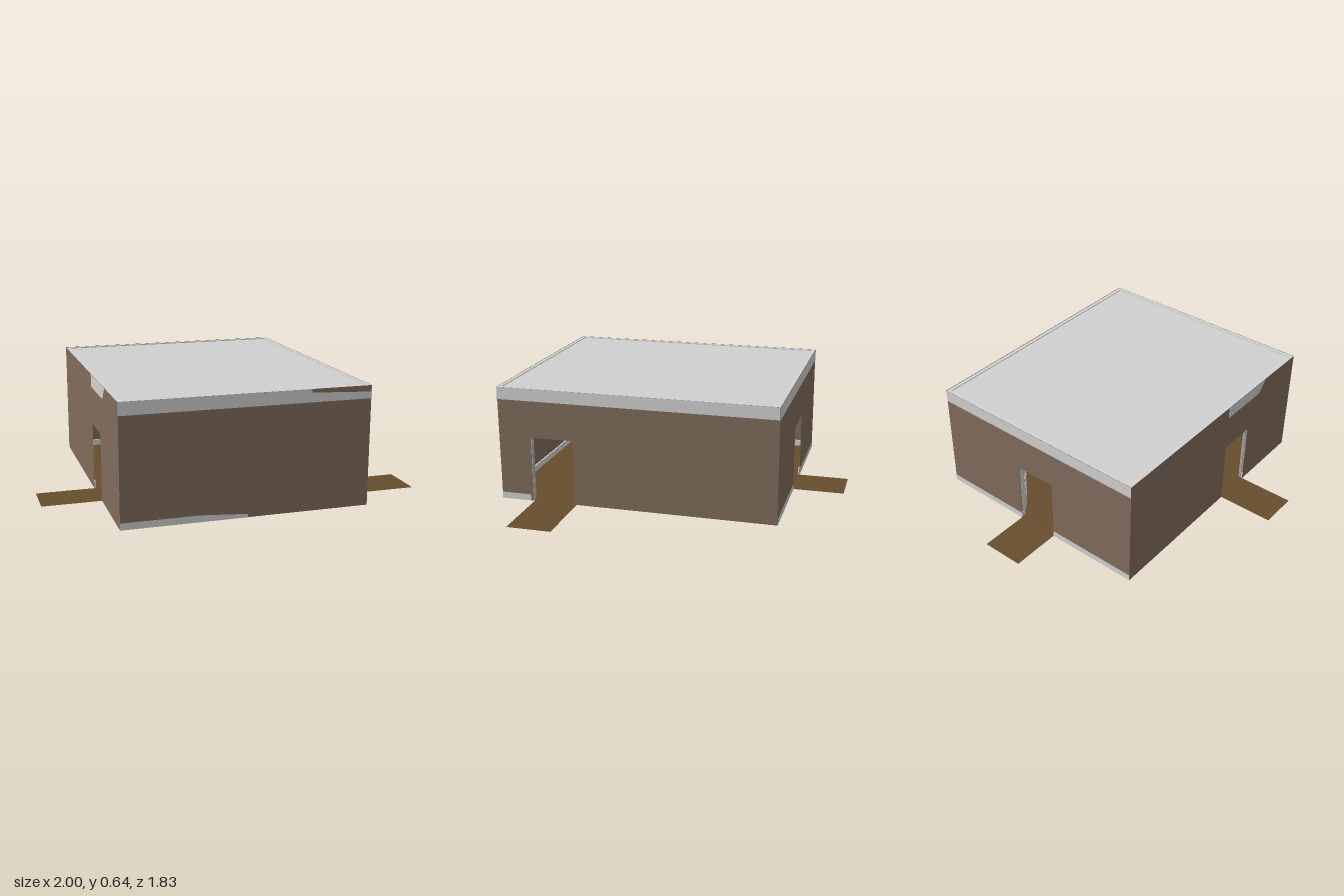
import * as THREE from 'three';

const mat = (name, color, side = THREE.FrontSide) => {
  const m = new THREE.MeshStandardMaterial({ color, side });
  m.name = name;
  return m;
};

const H = 0.638, CROWN = 0.57, BASE = 0.036, DOOR_H = 0.365;
const X0 = -0.68, X1 = 0.63, Z0 = -0.58, Z1 = 0.96;
const CX = (X0 + X1) / 2, CZ = (Z0 + Z1) / 2, W = X1 - X0, D = Z1 - Z0;

export function createModel() {
  const model = new THREE.Group();
  model.name = 'room';
  const wallMat = mat('brown wall', 0x806c5c, THREE.DoubleSide);
  const floorMat = mat('wood floor', 0x674d2e, THREE.DoubleSide);
  const ceilingMat = mat('ceiling grey', 0xd0d0d0, THREE.DoubleSide);
  const trimMat = mat('trim grey', 0xd2d2d2, THREE.DoubleSide);
  const doorMat = mat('door grey', 0xb0b0b0);

  const add = (parent, name, geometry, material, x = 0, y = 0, z = 0) => {
    const mesh = new THREE.Mesh(geometry, material);
    mesh.name = name;
    mesh.position.set(x, y, z);
    parent.add(mesh);
    return mesh;
  };
  const outline = pts => new THREE.ShapeGeometry(new THREE.Shape(pts.map(p => new THREE.Vector2(...p))));
  const rect = (a, b, y0, y1) => [[a, y0], [b, y0], [b, y1], [a, y1]];

  // Horizontal sheet between two corners
  const sheet = (name, x0, x1, z0, z1, y, material) => {
    const g = new THREE.PlaneGeometry(x1 - x0, z1 - z0).rotateX(-Math.PI / 2);
    add(model, name, g, material, (x0 + x1) / 2, y, (z0 + z1) / 2);
  };
  sheet('floor', X0, X1, Z0, Z1, 0, floorMat);
  sheet('backThreshold', -0.145, 0.095, -0.865, Z0, 0, floorMat);
  sheet('leftSideThreshold', X1, 1, 0.525, 0.77, 0, floorMat);
  sheet('rightSideThreshold', -1, X0, 0.285, 0.505, 0, floorMat);
  sheet('ceiling', X0, X1, Z0, Z1, H - 0.006, ceilingMat);

  // Panelled door, hinged at its local origin and reaching along s * x
  function makeDoor(width, s) {
    const door = new THREE.Group();
    door.name = 'door';
    const t = 0.012, h = DOOR_H - 0.008;
    add(door, 'doorLeaf', new THREE.BoxGeometry(width, h, t), doorMat, s * width / 2, h / 2 + 0.004, 0);
    const pw = width * 0.39;
    for (const [y0, y1] of [[0.03, 0.135], [0.147, 0.195], [0.207, 0.338]]) {
      for (const u of [0.27, 0.73]) {
        for (const face of [-1, 1]) {
          const frame = new THREE.Shape(rect(-pw / 2, pw / 2, y0, y1).map(p => new THREE.Vector2(...p)));
          const e = 0.008;
          frame.holes.push(new THREE.Path(
            rect(-pw / 2 + e, pw / 2 - e, y0 + e, y1 - e).reverse().map(p => new THREE.Vector2(...p))));
          const g = new THREE.ExtrudeGeometry(frame, { depth: 0.004, bevelEnabled: false });
          add(door, 'panelMoulding', g, doorMat, s * width * u, 0, face > 0 ? t / 2 : -t / 2 - 0.004);
        }
      }
    }
    return door;
  }

  // Wall facing local +z, with an optional doorway, inner mouldings and outer trim plates
  function makeWall({ name, width, pos, turn, opening, hinge, swing, plates }) {
    const wall = new THREE.Group();
    wall.name = name;
    wall.position.set(pos[0], 0, pos[1]);
    wall.rotation.y = turn;
    const w = width / 2;
    const pts = [[-w, 0]];
    if (opening) {
      const [a, b] = opening;
      pts.push([a, 0], [a, DOOR_H], [b, DOOR_H], [b, 0]);
    }
    pts.push([w, 0], [w, H], [-w, H]);
    add(wall, 'wallSheet', outline(pts), wallMat);

    // Crown moulding and skirting on the inside
    const bar = (label, a, b, y0, y1, t) => add(wall, label,
      new THREE.BoxGeometry(b - a, y1 - y0, t), trimMat, (a + b) / 2, (y0 + y1) / 2, -t / 2 - 0.001);
    bar('crownMoulding', -w + 0.002, w - 0.002, CROWN, H - 0.001, 0.02);
    const runs = opening ? [[-w + 0.002, opening[0]], [opening[1], w - 0.002]] : [[-w + 0.002, w - 0.002]];
    for (const [a, b] of runs) bar('skirting', a, b, 0.001, BASE, 0.008);

    // Trim on the outside
    for (const p of plates) add(wall, 'outerTrim', outline(p), trimMat, 0, 0, 0.002);

    if (opening) {
      const s = hinge === opening[1] ? 1 : -1;
      const door = makeDoor(opening[1] - opening[0] - 0.005, s);
      door.position.set(hinge, 0, -0.018);
      door.rotation.y = s * swing;
      wall.add(door);
    }
    model.add(wall);
  }

  const w = W / 2, d = D / 2;
  makeWall({
    name: 'frontWall', width: W, pos: [CX, Z1], turn: 0,
    plates: [
      [[-w, CROWN], [w, CROWN], [w, 0.605], [0.33, 0.62], [0.33, H], [-w, H]],
      [[-w, 0], [0, 0], [0, 0.018], [-0.25, BASE], [-w, BASE]],
    ],
  });
  makeWall({
    name: 'leftSideWall', width: D, pos: [X1, CZ], turn: Math.PI / 2,
    opening: [-0.585, -0.345], hinge: -0.585, swing: 1.0,
    plates: [rect(-d, d, CROWN, H), rect(-d, -0.6, 0, BASE)],
  });
  makeWall({
    name: 'backWall', width: W, pos: [CX, Z0], turn: Math.PI,
    opening: [-0.12, 0.12], hinge: -0.12, swing: 0.85,
    plates: [rect(-w, w, CROWN, H), rect(-w, -0.12, 0, BASE), rect(0.12, w, 0, BASE)],
  });
  makeWall({
    name: 'rightSideWall', width: D, pos: [X0, CZ], turn: -Math.PI / 2,
    opening: [0.095, 0.315], hinge: 0.315, swing: 0.3,
    plates: [[[0.09, CROWN], [0.4, CROWN], [0.46, H], [0.09, H]]],
  });

  return model;
}
